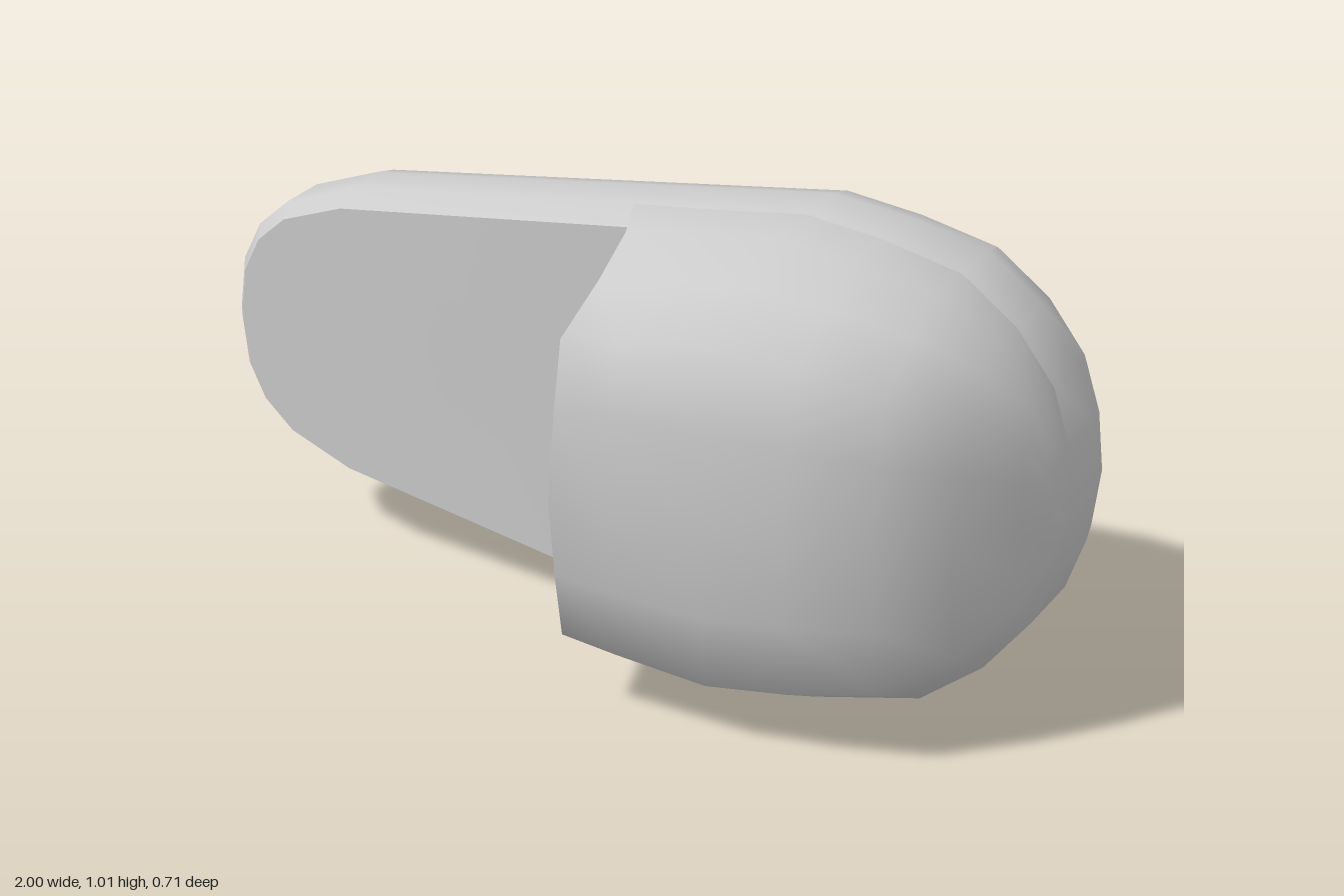
import * as THREE from 'three';
import { toCreasedNormals } from 'three/addons/utils/BufferGeometryUtils.js';

const MID = 0.505; // height of the symmetry plane

// Skins a list of rows of points, skipping collapsed triangles
function loft(rows, crease) {
  const pos = [];
  const tri = (a, b, c) => {
    const area = b.clone().sub(a).cross(c.clone().sub(a)).length();
    if (area > 1e-7) for (const p of [a, b, c]) pos.push(p.x, p.y, p.z);
  };
  for (let i = 0; i < rows.length - 1; i++) {
    for (let j = 0; j < rows[i].length - 1; j++) {
      const a = rows[i][j], b = rows[i][j + 1], c = rows[i + 1][j + 1], d = rows[i + 1][j];
      tri(a, b, c);
      tri(a, c, d);
    }
  }
  const g = new THREE.BufferGeometry();
  g.setAttribute('position', new THREE.Float32BufferAttribute(pos, 3));
  return toCreasedNormals(g, crease);
}

// Outline of the sole: x and half width, heel to toe
const OUTLINE = [[-1, 0], [-0.985, 0.12], [-0.94, 0.21], [-0.86, 0.28], [-0.7, 0.34], [0.04, 0.451],
  [0.2, 0.475], [0.4, 0.505], [0.57, 0.485], [0.74, 0.448], [0.86, 0.36], [0.945, 0.25], [0.985, 0.13], [1, 0]];

function soleGeometry() {
  const loop = [
    ...OUTLINE.map(([x, w]) => new THREE.Vector2(x, -w)),
    ...OUTLINE.slice(1, -1).reverse().map(([x, w]) => new THREE.Vector2(x, w)),
  ];
  const n = loop.length;
  const ring = (z, inset, slope = 0) => Array.from({ length: n + 1 }, (_, k) => {
    const p = loop[k % n];
    const t = loop[(k + 1) % n].clone().sub(loop[(k + n - 1) % n]).normalize();
    const x = p.x - t.y * inset, y = p.y + t.x * inset;
    return new THREE.Vector3(x, MID + y, z + slope * (Math.min(x, 0.05) + 1));
  });
  const centre = (z) => Array.from({ length: n + 1 }, () => new THREE.Vector3(0.05, MID, z));
  return loft([
    centre(-0.355), ring(-0.355, 0.065), ring(-0.31, 0.015), ring(-0.25, 0),
    ring(-0.14, 0), ring(-0.1, 0.03, 0.026), centre(-0.073),
  ], 0.65);
}

// Upper: x, half width and crown height, opening to toe
const STATIONS = [[0.04, 0.451, 0.355], [0.2, 0.475, 0.347], [0.4, 0.505, 0.335], [0.57, 0.485, 0.305],
  [0.74, 0.448, 0.255], [0.86, 0.36, 0.14], [0.945, 0.25, 0.02], [0.985, 0.13, -0.045], [1, 0, -0.08]];
const INNER = [...STATIONS.slice(0, 6).map(([x, w, h]) => [x - (x > 0.5 ? 0.03 : 0), w - 0.04, h - 0.035]),
  [0.9, 0.2, 0.0], [0.93, 0, -0.08]];

// Half arch: fraction of width, fraction of height
const ARCH = [[1, 0], [1, 0.3], [0.88, 0.57], [0.73, 0.89], [0.4, 0.95], [0, 1]];
const BASE = -0.12;

function archRow([x, w, h], isRim) {
  const half = [...ARCH, ...ARCH.slice(0, -1).reverse().map(([u, v]) => [-u, v])];
  return half.map(([u, v]) => {
    const z = BASE + (h - BASE) * v;
    // the opening edge sweeps back toward the sole
    const k = THREE.MathUtils.clamp((0.1 - z) / 0.2, 0, 1);
    return new THREE.Vector3(isRim ? 0.08 - 0.07 * k * k : x, MID + u * w, z);
  });
}

export function createModel() {
  const group = new THREE.Group();
  const solid = new THREE.MeshStandardMaterial({ color: 0xcccccc });
  const shell = new THREE.MeshStandardMaterial({ color: 0xcccccc, side: THREE.DoubleSide });
  const add = (name, geometry, material) => {
    const mesh = new THREE.Mesh(geometry, material);
    mesh.name = name;
    group.add(mesh);
  };

  const outer = STATIONS.map((s, i) => archRow(s, i === 0));
  const inner = INNER.map((s, i) => archRow(s, i === 0));

  add('sole', soleGeometry(), solid);
  add('upper', loft(outer, 1), shell);
  add('lining', loft(inner.map((r) => [...r].reverse()), 1), shell);
  add('openingRim', loft([inner[0], outer[0]], 0.5), shell);
  return group;
}
